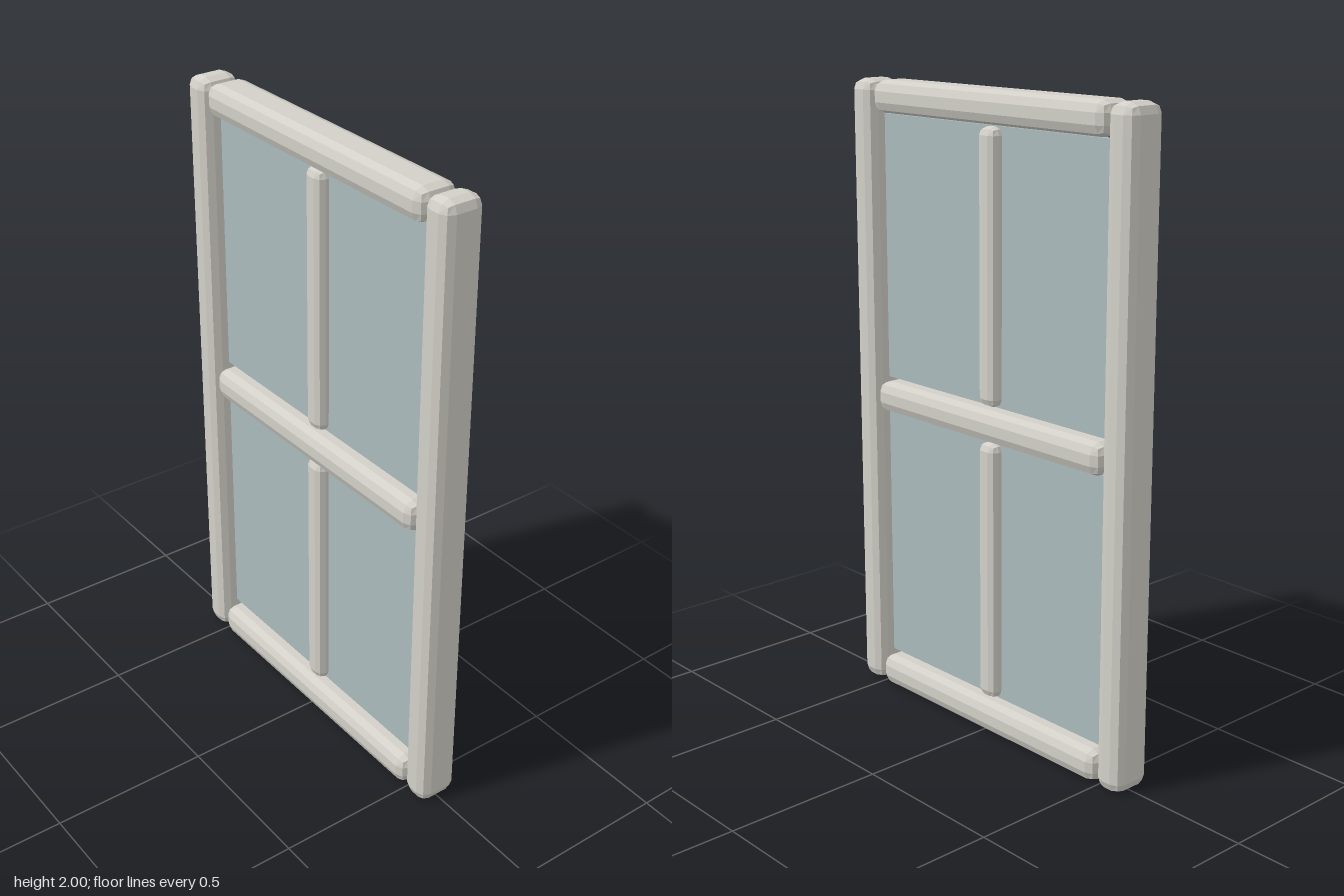
import * as THREE from 'three';
import { RoundedBoxGeometry } from 'three/addons/geometries/RoundedBoxGeometry.js';

export function createModel() {
  const group = new THREE.Group();
  group.name = 'window';

  const frameMat = new THREE.MeshStandardMaterial({ color: 0xd2d0c8 });
  frameMat.name = 'offWhiteFrame';
  const glassMat = new THREE.MeshStandardMaterial({ color: 0xacbbbc });
  glassMat.name = 'greyBlueGlass';

  function add(name, geometry, material, x, y) {
    const mesh = new THREE.Mesh(geometry, material);
    mesh.name = name;
    mesh.position.set(x, y, 0);
    group.add(mesh);
  }

  // faceted beam with softened edges
  function beam(name, w, h, d, r, x, y) {
    const geometry = new RoundedBoxGeometry(w, h, d, 1, r);
    geometry.computeVertexNormals(); // unshared corners, so this facets the edges
    add(name, geometry, frameMat, x, y);
  }

  // upright stiles
  beam('leftStile', 0.098, 2, 0.133, 0.033, 0.551, 1);
  beam('rightStile', 0.098, 2, 0.133, 0.033, -0.551, 1);

  // horizontal rails
  beam('bottomRail', 0.996, 0.1, 0.133, 0.033, 0, 0.05);
  beam('middleRail', 0.996, 0.1, 0.133, 0.033, 0, 1);
  beam('topRail', 0.996, 0.1, 0.133, 0.033, 0, 1.95);

  // each sash: glass pane with a slim centre bar
  for (const [name, y] of [['lower', 0.525], ['upper', 1.475]]) {
    beam(name + 'GlazingBar', 0.075, 0.836, 0.09, 0.025, 0, y);
    add(name + 'Glass', new THREE.BoxGeometry(1, 0.84, 0.02), glassMat, 0, y);
  }

  return group;
}
